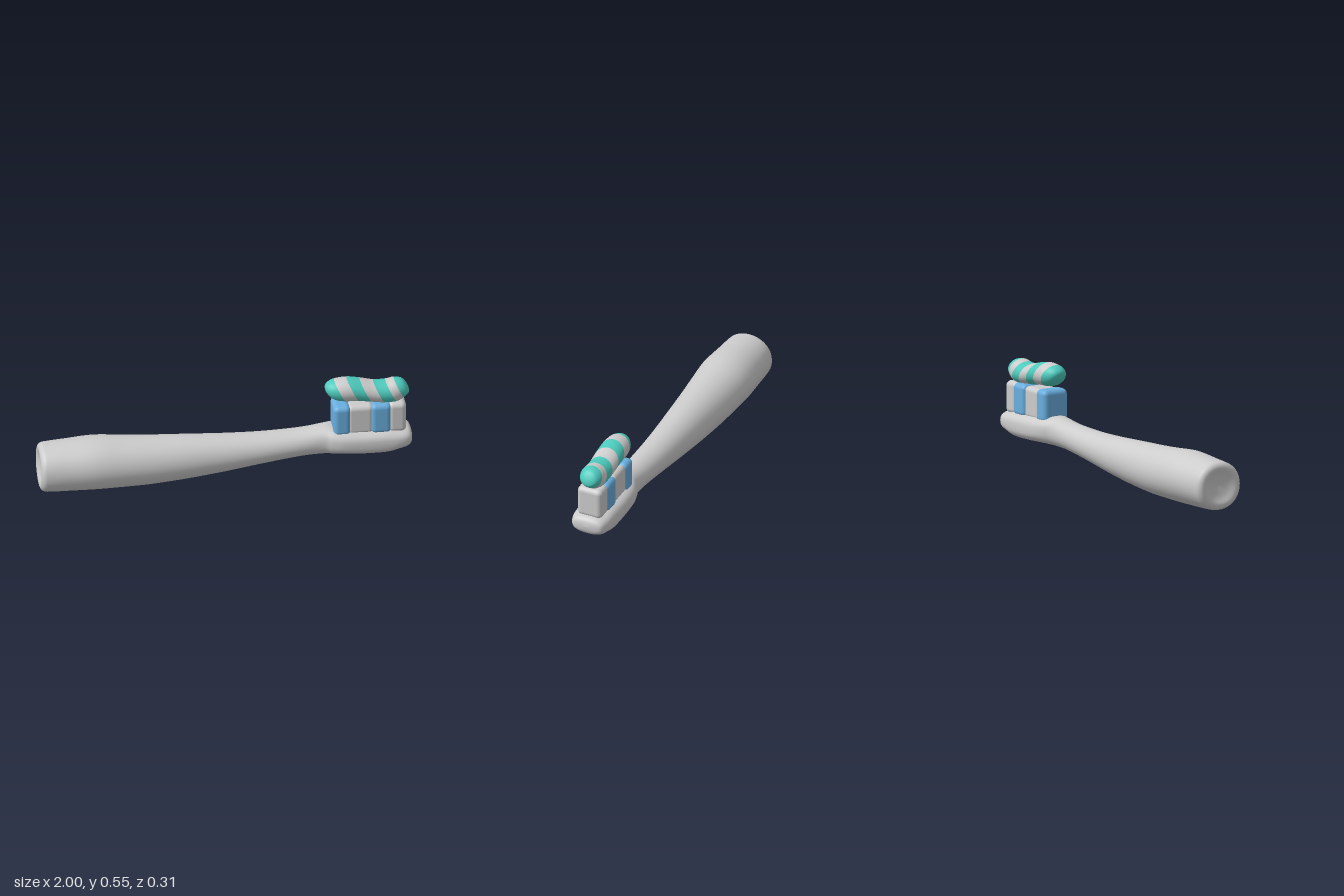
import * as THREE from 'three';
import { RoundedBoxGeometry } from 'three/addons/geometries/RoundedBoxGeometry.js';

const material = (name, color) => Object.assign(new THREE.MeshStandardMaterial({ color }), { name });

// Smoothly interpolates between rows of numbers.
function refine(rows, steps) {
  const out = [];
  const at = (i) => rows[Math.min(Math.max(i, 0), rows.length - 1)];
  for (let i = 0; i < rows.length - 1; i++) {
    for (let s = 0; s < steps; s++) {
      const t = s / steps;
      out.push(at(i).map((p1, k) => {
        const p0 = at(i - 1)[k], p2 = at(i + 1)[k], p3 = at(i + 2)[k];
        return p1 + 0.5 * t * (p2 - p0 + t * (2 * p0 - 5 * p1 + 4 * p2 - p3 + t * (3 * (p1 - p2) + p3 - p0)));
      }));
    }
  }
  out.push(rows[rows.length - 1]);
  return out;
}

// Skins rounded cross-sections [x, centre y, half height, half depth, squareness] along x.
// Slant leans each section; breaks are x positions where the material index alternates.
function loft(rows, { sides = 32, slant = 0, breaks = [] } = {}) {
  const positions = [], index = [];
  const geometry = new THREE.BufferGeometry();
  rows.forEach(([x, y, h, d, n]) => {
    for (let j = 0; j < sides; j++) {
      const a = (j / sides) * Math.PI * 2;
      const c = Math.cos(a), s = Math.sin(a);
      const dy = Math.sign(c) * Math.abs(c) ** (2 / n) * Math.max(h, 0);
      const dz = Math.sign(s) * Math.abs(s) ** (2 / n) * Math.max(d, 0);
      positions.push(x - slant * dy, y + dy, dz);
    }
  });
  for (let i = 0; i < rows.length - 1; i++) {
    const middle = (rows[i][0] + rows[i + 1][0]) / 2;
    geometry.addGroup(index.length, sides * 6, breaks.filter((b) => b < middle).length % 2);
    for (let j = 0; j < sides; j++) {
      const a = i * sides + j, b = i * sides + ((j + 1) % sides);
      index.push(a, b, a + sides, b, b + sides, a + sides);
    }
  }
  geometry.setAttribute('position', new THREE.Float32BufferAttribute(positions, 3));
  geometry.setIndex(index);
  geometry.computeVertexNormals();
  return geometry;
}

export function createModel() {
  const grey = material('light grey', 0xcccccc);
  const blue = material('bristle blue', 0x69aede);
  const teal = material('paste teal', 0x4ccabc);
  const model = new THREE.Group();
  model.name = 'toothbrush';
  const add = (name, geometry, mat) => {
    const mesh = new THREE.Mesh(geometry, mat);
    mesh.name = name;
    model.add(mesh);
    return mesh;
  };

  // Handle, neck and head in one smooth body, with a dished butt end
  add('handleAndHead', loft(refine([
    [-0.975, 0.14, 0, 0, 2],
    [-0.985, 0.14, 0.06, 0.06, 2],
    [-1.0, 0.14, 0.1, 0.105, 2.1],
    [-0.985, 0.14, 0.126, 0.132, 2.1],
    [-0.95, 0.14, 0.132, 0.139, 2.1],
    [-0.85, 0.143, 0.138, 0.146, 2],
    [-0.7, 0.147, 0.143, 0.154, 2],
    [-0.55, 0.142, 0.137, 0.145, 2],
    [-0.4, 0.139, 0.131, 0.133, 2],
    [-0.2, 0.143, 0.119, 0.117, 2],
    [0.0, 0.151, 0.102, 0.102, 2],
    [0.2, 0.165, 0.085, 0.09, 2],
    [0.4, 0.183, 0.076, 0.081, 2],
    [0.52, 0.194, 0.079, 0.08, 2.2],
    [0.57, 0.195, 0.077, 0.096, 2.4],
    [0.63, 0.192, 0.073, 0.108, 2.6],
    [0.75, 0.187, 0.071, 0.111, 2.8],
    [0.86, 0.187, 0.07, 0.11, 2.8],
    [0.92, 0.191, 0.06, 0.107, 2.7],
    [0.97, 0.194, 0.052, 0.095, 2.6],
    [0.993, 0.196, 0.032, 0.07, 2.4],
    [1.0, 0.197, 0, 0, 2],
  ], 4), { sides: 36 }), grey);

  // Bristle tufts: [name, x start, x end, bottom, top, depth, material]
  [
    ['backTuft', 0.573, 0.667, 0.235, 0.412, 0.155, blue],
    ['innerTuft', 0.645, 0.79, 0.235, 0.408, 0.138, grey],
    ['middleTuft', 0.773, 0.885, 0.235, 0.412, 0.155, blue],
    ['frontTuft', 0.867, 0.965, 0.235, 0.412, 0.145, grey],
  ].forEach(([name, x0, x1, y0, y1, depth, mat]) => {
    const tuft = add(name, new RoundedBoxGeometry(x1 - x0, y1 - y0, depth, 4, 0.028), mat);
    tuft.position.set((x0 + x1) / 2, (y0 + y1) / 2, 0);
  });

  // Wavy striped toothpaste
  add('toothpaste', loft(refine([
    [0.54, 0.478, 0, 0, 2],
    [0.55, 0.478, 0.03, 0.036, 2],
    [0.575, 0.479, 0.05, 0.058, 2],
    [0.615, 0.483, 0.061, 0.071, 2],
    [0.685, 0.484, 0.066, 0.073, 2],
    [0.755, 0.473, 0.065, 0.073, 2],
    [0.825, 0.46, 0.061, 0.072, 2],
    [0.89, 0.461, 0.06, 0.071, 2],
    [0.932, 0.476, 0.054, 0.064, 2],
    [0.963, 0.484, 0.04, 0.048, 2],
    [0.975, 0.486, 0.02, 0.025, 2],
    [0.978, 0.486, 0, 0, 2],
  ], 5), { slant: 0.5, breaks: [0.615, 0.685, 0.755, 0.825, 0.89, 0.932] }), [teal, grey]);

  return model;
}
